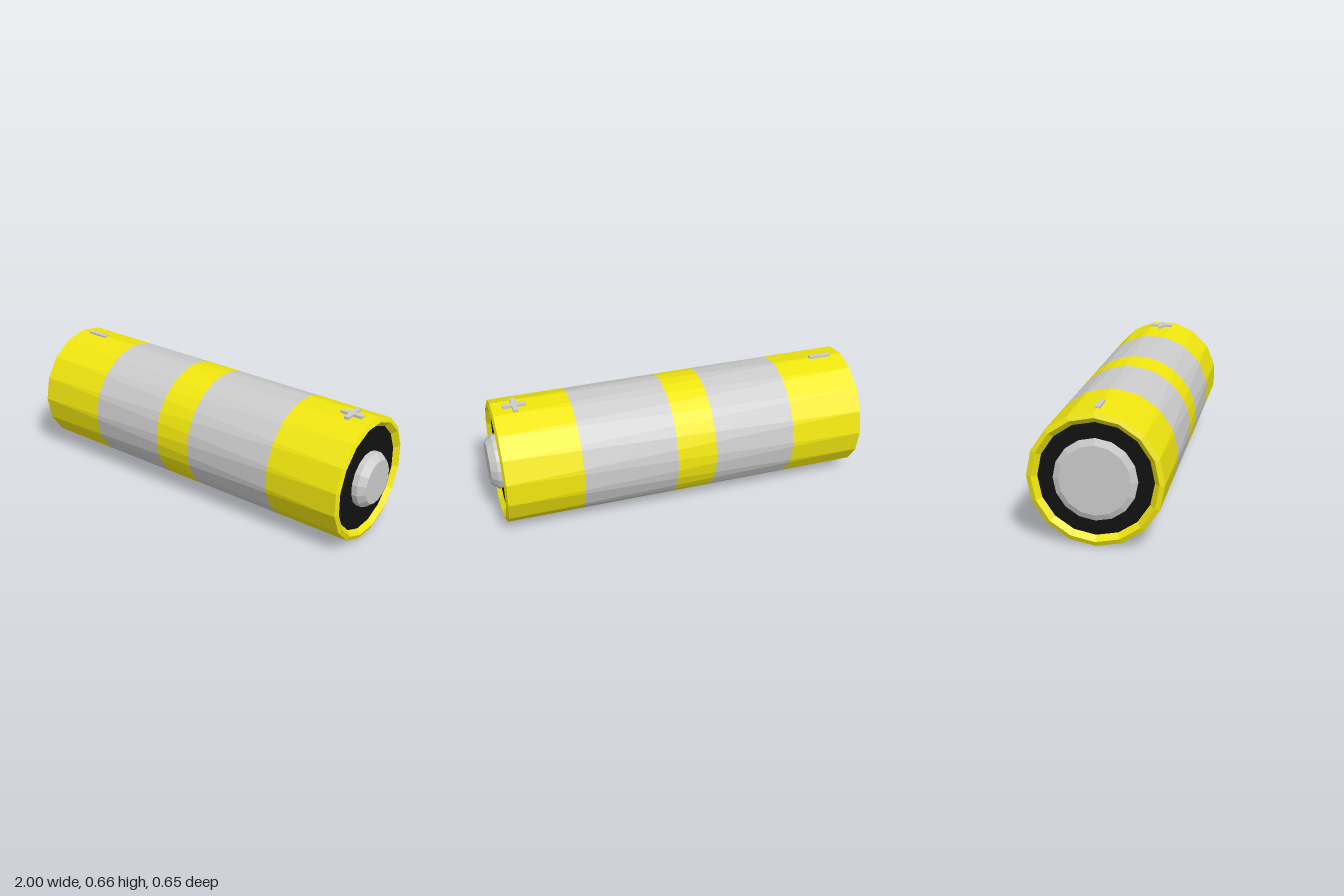
import * as THREE from 'three';

const SIDES = 16, STEP = (Math.PI * 2) / SIDES;
const RADIUS = 0.326, LEFT = -0.99, RIGHT = 0.95;

const material = (color) => new THREE.MeshStandardMaterial({ color, flatShading: true });
const yellow = material(0xf0e60f);
const grey = material(0xcccccc);
const black = material(0x111111);

function addMesh(parent, name, geometry, mat) {
  const flat = geometry.index ? geometry.toNonIndexed() : geometry;
  flat.computeVertexNormals();
  const mesh = new THREE.Mesh(flat, mat);
  mesh.name = name;
  parent.add(mesh);
  return mesh;
}

// Sixteen-sided turned part along x; profile holds [x, radius] pairs
function turned(profile, side) {
  const points = profile.map(([x, r]) => new THREE.Vector2(r, x * side));
  if (side < 0) points.reverse();
  const phase = side > 0 ? STEP / 2 : 0;
  return new THREE.LatheGeometry(points, SIDES, phase).rotateZ(-Math.PI / 2);
}

// Point k of the sleeve's section at x: its end polygons are half a step apart,
// joined by long alternating triangles
function sleevePoint(k, x) {
  const a = Math.ceil(k / 2) * STEP;
  const b = (Math.floor(k / 2) + 0.5) * STEP;
  const t = (x - LEFT) / (RIGHT - LEFT);
  const mix = THREE.MathUtils.lerp;
  return [x, RADIUS * mix(Math.cos(a), Math.cos(b), t), RADIUS * mix(Math.sin(a), Math.sin(b), t)];
}

function sleeveBand(x0, x1) {
  const positions = [];
  for (let k = 0; k < SIDES * 2; k++) {
    const p = sleevePoint(k, x0), q = sleevePoint(k + 1, x0);
    const r = sleevePoint(k, x1), s = sleevePoint(k + 1, x1);
    positions.push(...p, ...q, ...r, ...q, ...s, ...r);
  }
  const geometry = new THREE.BufferGeometry();
  geometry.setAttribute('position', new THREE.Float32BufferAttribute(positions, 3));
  return geometry;
}

export function createModel() {
  const model = new THREE.Group();
  model.name = 'battery';

  // Striped sleeve
  const cell = new THREE.Group();
  cell.name = 'cell';
  cell.position.y = RADIUS;
  model.add(cell);
  const stops = [LEFT, -0.595, -0.16, 0.05, 0.55, RIGHT];
  for (let i = 0; i < stops.length - 1; i++) {
    addMesh(cell, `sleeveBand${i + 1}`, sleeveBand(stops[i], stops[i + 1]), i % 2 ? grey : yellow);
  }

  // Bevelled rim, recessed black plate and metal contact at each end
  const ends = [
    { name: 'positive', side: 1, edge: RIGHT, base: 0.145, face: 0.115, shoulder: 0.965, tip: 1 },
    { name: 'negative', side: -1, edge: -LEFT, base: 0.2, face: 0.17, shoulder: 0.985, tip: 0.998 },
  ];
  for (const { name, side, edge, base, face, shoulder, tip } of ends) {
    const floor = edge - 0.015;
    addMesh(cell, `${name}Rim`, turned([[edge, RADIUS], [edge + 0.01, 0.302], [floor, 0.276]], side), yellow);
    addMesh(cell, `${name}Plate`, turned([[floor, 0.276], [floor, 0]], side), black);
    addMesh(cell, `${name}Contact`, turned([[floor, base], [shoulder, base], [tip, face], [tip, 0]], side), grey);
  }

  // Raised polarity marks
  const bar = (name, x, length, width) => {
    const mesh = addMesh(model, name, new THREE.BoxGeometry(length, 0.02, width), grey);
    mesh.position.set(x, 0.65, 0);
  };
  bar('minusMark', -0.865, 0.12, 0.026);
  bar('plusMarkLong', 0.833, 0.12, 0.026);
  for (const side of [-1, 1]) {
    const arm = addMesh(model, 'plusMarkArm', new THREE.BoxGeometry(0.026, 0.02, 0.047), grey);
    arm.position.set(0.833, 0.65, side * 0.0365);
  }
  return model;
}
